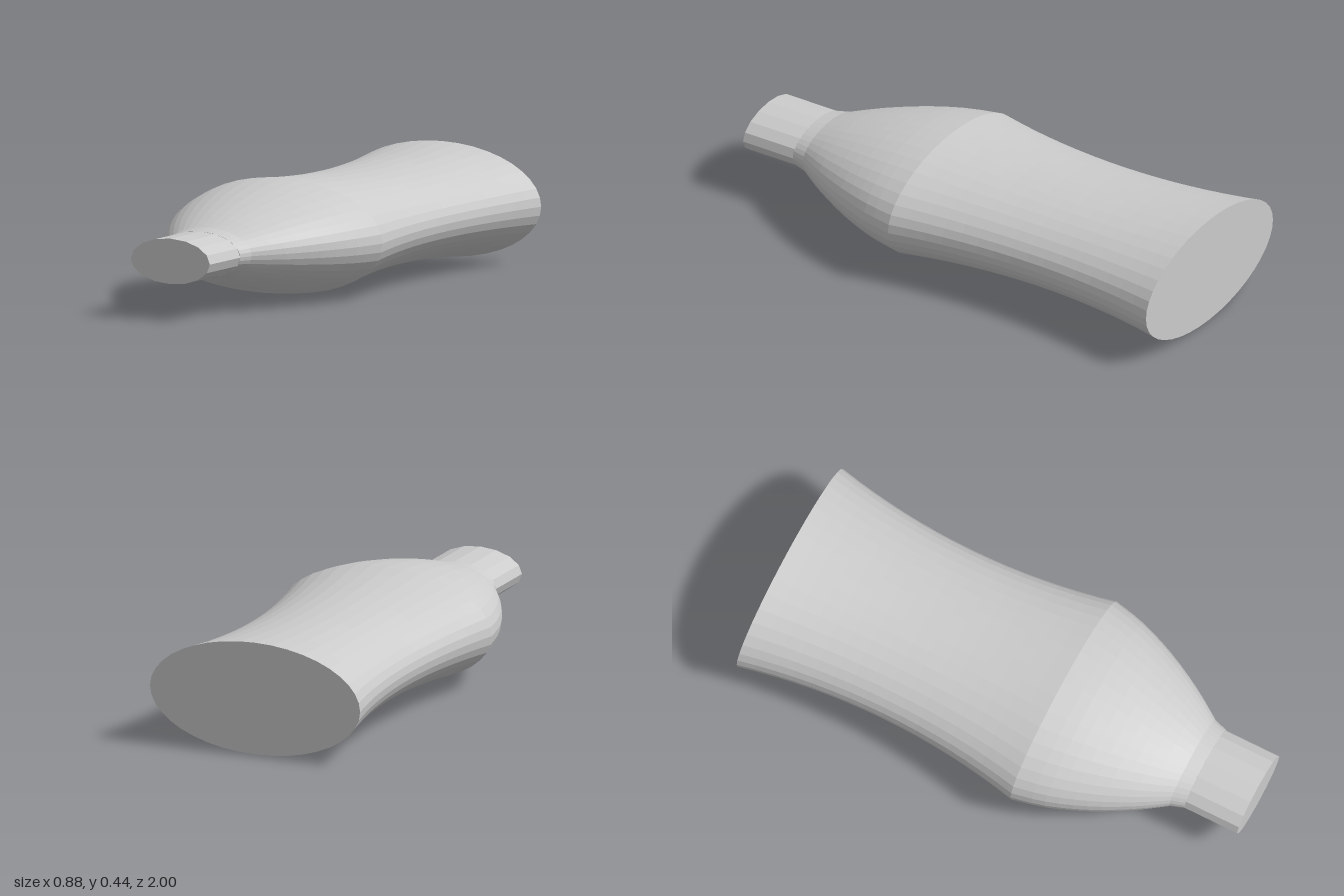
import * as THREE from 'three';

const CENTER_Y = 0.222;

// Revolve [z, radius] pairs around the z axis, then squash to a 2:1 ellipse
function ellipticalLathe(name, profile, sides) {
  const points = profile.map(([z, r]) => new THREE.Vector2(r, z));
  const geometry = new THREE.LatheGeometry(points, sides);
  geometry.scale(1, 1, 0.5);
  geometry.rotateX(Math.PI / 2);
  geometry.translate(0, CENTER_Y, 0);
  const material = new THREE.MeshStandardMaterial({ color: 0xcccccc, flatShading: true });
  const mesh = new THREE.Mesh(geometry, material);
  mesh.name = name;
  return mesh;
}

export function createModel() {
  const group = new THREE.Group();
  group.name = 'flattenedBottle';

  // Waisted grip: radius swells from the waist to both ends
  const grip = [[-1, 0]];
  const start = -1, end = 0.17, steps = 16;
  for (let i = 0; i <= steps; i++) {
    const t = i / steps;
    const u = 2 * t - 1;
    grip.push([start + (end - start) * t, 0.375 + 0.066 * u * u]);
  }

  // Rounded shoulder narrowing to the neck
  const shoulderCurve = new THREE.SplineCurve([
    [0.17, 0.441], [0.3, 0.411], [0.45, 0.352], [0.6, 0.272], [0.72, 0.192],
  ].map(([z, r]) => new THREE.Vector2(z, r)));
  const shoulder = shoulderCurve.getPoints(12).slice(1).map((p) => [p.x, p.y]);

  group.add(ellipticalLathe('body', [...grip, ...shoulder, [0.775, 0.174], [0.775, 0]], 40));

  // Straight faceted neck with a flat end
  group.add(ellipticalLathe('neck', [[0.74, 0], [0.74, 0.175], [1, 0.175], [1, 0]], 16));

  return group;
}
